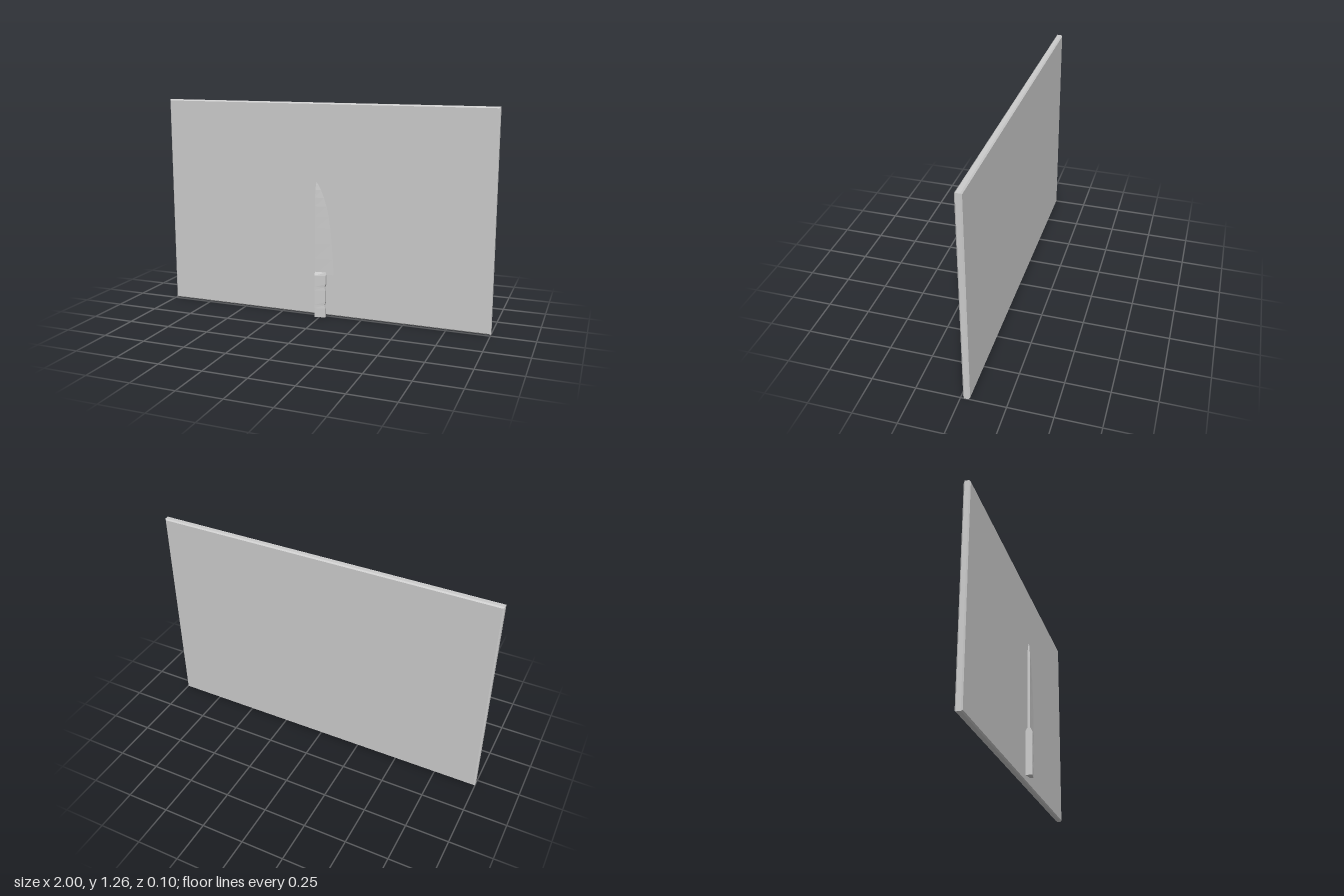
import * as THREE from 'three';

const KNIFE_Z = 0.033;
const material = new THREE.MeshStandardMaterial({ color: 0xcccccc, flatShading: true });

// Skins a stack of rings, each counter-clockwise seen from above, and caps both ends
function loft(rings) {
  const pos = [];
  const tri = (a, b, c) => pos.push(...a, ...b, ...c);
  const n = rings[0].length;
  for (let i = 0; i < rings.length - 1; i++) {
    for (let j = 0; j < n; j++) {
      const k = (j + 1) % n;
      const lo = rings[i], hi = rings[i + 1];
      tri(lo[j], lo[k], hi[k]);
      tri(lo[j], hi[k], hi[j]);
    }
  }
  const bottom = rings[0], top = rings[rings.length - 1];
  for (let j = 1; j < n - 1; j++) {
    tri(bottom[0], bottom[j + 1], bottom[j]);
    tri(top[0], top[j], top[j + 1]);
  }
  const geometry = new THREE.BufferGeometry();
  geometry.setAttribute('position', new THREE.Float32BufferAttribute(pos, 3));
  geometry.computeVertexNormals();
  return geometry;
}

function part(name, geometry) {
  const mesh = new THREE.Mesh(geometry, material);
  mesh.name = name;
  return mesh;
}

// Upright board with a small chamfer on every edge
function createBoard() {
  const w = 2, h = 1.26, depth = 0.038, c = 0.007;
  const x = w / 2 - c, y = h / 2 - c;
  const shape = new THREE.Shape([
    new THREE.Vector2(-x, -y), new THREE.Vector2(x, -y),
    new THREE.Vector2(x, y), new THREE.Vector2(-x, y),
  ]);
  const geometry = new THREE.ExtrudeGeometry(shape, {
    depth: depth - 2 * c, bevelEnabled: true, bevelThickness: c, bevelSize: c, bevelSegments: 1,
  });
  geometry.translate(0, h / 2, -0.051 + c);
  return part('board', geometry);
}

// Wedge blade: thick straight spine, curved sharp edge
function createBlade() {
  // y, spine x, edge x, half thickness of spine
  const sections = [
    [0.265, -0.024, 0.088, 0.008], [0.36, -0.024, 0.083, 0.008],
    [0.45, -0.024, 0.076, 0.008], [0.54, -0.024, 0.067, 0.008],
    [0.61, -0.024, 0.057, 0.008], [0.67, -0.024, 0.044, 0.008],
    [0.72, -0.024, 0.028, 0.0075], [0.765, -0.023, 0.01, 0.006],
    [0.793, -0.021, -0.006, 0.003], [0.81, -0.018, -0.017, 0.0004],
  ];
  return part('blade', loft(sections.map(([y, spine, edge, t]) => [
    [spine, y, t], [edge, y, 0], [spine, y, -t],
  ])));
}

// Handle tapering towards the finger side, with two grip notches and a bevelled top
function createHandle() {
  // y, finger side x, thickness scale
  const sections = [
    [0.004, 0.039, 1], [0.058, 0.039, 1], [0.078, 0.033, 1], [0.098, 0.039, 1],
    [0.168, 0.039, 1], [0.188, 0.034, 1], [0.208, 0.041, 1],
    [0.257, 0.042, 1], [0.278, 0.042, 0.5],
  ];
  return part('handle', loft(sections.map(([y, x, s]) => [
    [-0.025, y, 0.02 * s], [x, y, 0.0085 * s], [x, y, -0.0085 * s], [-0.025, y, -0.02 * s],
  ])));
}

export function createModel() {
  const knife = new THREE.Group();
  knife.name = 'knife';
  knife.position.z = KNIFE_Z;
  knife.add(createBlade(), createHandle());

  const model = new THREE.Group();
  model.name = 'knifeAndBoard';
  model.add(createBoard(), knife);
  return model;
}
